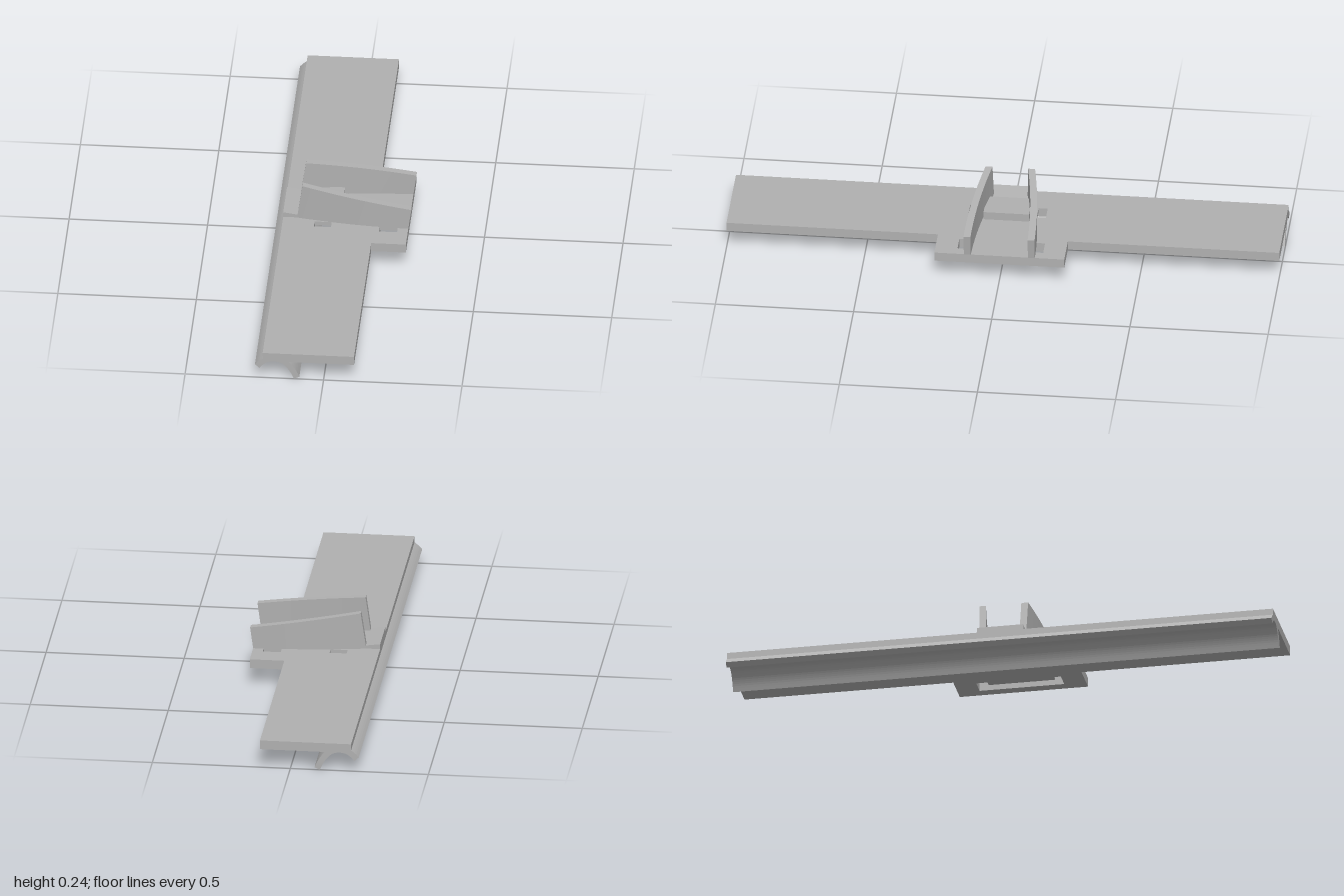
import * as THREE from 'three';

const gray = new THREE.MeshStandardMaterial({ color: 0xb0b0b0 });
gray.name = 'plain gray';

const shapeOf = (pts) => new THREE.Shape(pts.map(([x, y]) => new THREE.Vector2(x, y)));
const rect = (x0, x1, z0, z1) => [[x0, z0], [x1, z0], [x1, z1], [x0, z1]];

export function createModel() {
  const model = new THREE.Group();
  const add = (name, geometry) => {
    const mesh = new THREE.Mesh(geometry, gray);
    mesh.name = name;
    model.add(mesh);
  };

  // Extrusion of an outline drawn in x and y, running along z
  const alongZ = (shape, depth) =>
    new THREE.ExtrudeGeometry(shape, { depth, bevelEnabled: false }).translate(0, 0, -depth / 2);

  // Long plate with a tab: the lower layer has strap grooves, the upper layer small openings
  const layer = (name, y0, y1, holes) => {
    const outline = shapeOf([
      [-0.22, -1], [0.11, -1], [0.11, -0.235], [0.235, -0.235],
      [0.235, 0.235], [0.11, 0.235], [0.11, 1], [-0.22, 1],
    ]);
    outline.holes = holes.map((h) => shapeOf(rect(...h)));
    const g = new THREE.ExtrudeGeometry(outline, { depth: y1 - y0, bevelEnabled: false });
    add(name, g.rotateX(-Math.PI / 2).translate(0, y0, 0));
  };
  const grooves = [[-0.105, -0.043, 0.14], [0.132, 0.197, 0.155]];
  layer('plateLower', 0.07, 0.09, grooves.map(([a, b, z]) => [a, b, -z, z]));
  layer('plateUpper', 0.09, 0.104, grooves.flatMap(([a, b, z]) =>
    [[a, b, z - 0.033, z], [a, b, -z, 0.033 - z]]));

  // Curved clip rail beneath the plate edge: inner curve and its outward offset
  const inner = new THREE.SplineCurve([
    [-0.232, 0.04], [-0.219, 0.054], [-0.201, 0.066], [-0.178, 0.07],
    [-0.154, 0.065], [-0.135, 0.049], [-0.119, 0.026], [-0.107, 0],
  ].map(([x, y]) => new THREE.Vector2(x, y)));
  const innerPts = inner.getPoints(28);
  const outerPts = innerPts.map((p, i) => {
    const t = inner.getTangent(i / 28);
    return new THREE.Vector2(p.x - t.y * 0.0215, p.y + t.x * 0.0215);
  });
  add('clipRail', alongZ(new THREE.Shape([...innerPts, ...outerPts.reverse()]), 2));

  // Sloped cradle floor and raised block between the walls
  add('cradleFloor', alongZ(shapeOf([[-0.22, 0.1], [-0.085, 0.1], [-0.085, 0.104], [-0.22, 0.123]]), 0.17));
  add('cradleBlock', alongZ(shapeOf([[-0.12, 0.1], [-0.01, 0.1], [-0.01, 0.134], [-0.12, 0.134]]), 0.165));

  // Bowed, tilted walls, spreading apart toward +x
  const lerp = THREE.MathUtils.lerp;
  for (const side of [1, -1]) {
    const g = new THREE.BoxGeometry(1, 1, 1, 16, 1, 1);
    const p = g.attributes.position;
    for (let i = 0; i < p.count; i++) {
      const u = p.getX(i) + 0.5, v = p.getY(i) + 0.5;
      const x = lerp(lerp(-0.17, 0.235, u), lerp(-0.15, 0.246, u), v);
      const y = lerp(0.103, lerp(0.241, 0.184, u), v);
      const z = side * (0.1 + 0.12 * x - 0.224 * x * x) + p.getZ(i) * 0.025;
      p.setXYZ(i, x, y, z);
    }
    g.computeVertexNormals();
    add(side > 0 ? 'frontWall' : 'backWall', g);
  }
  return model;
}
